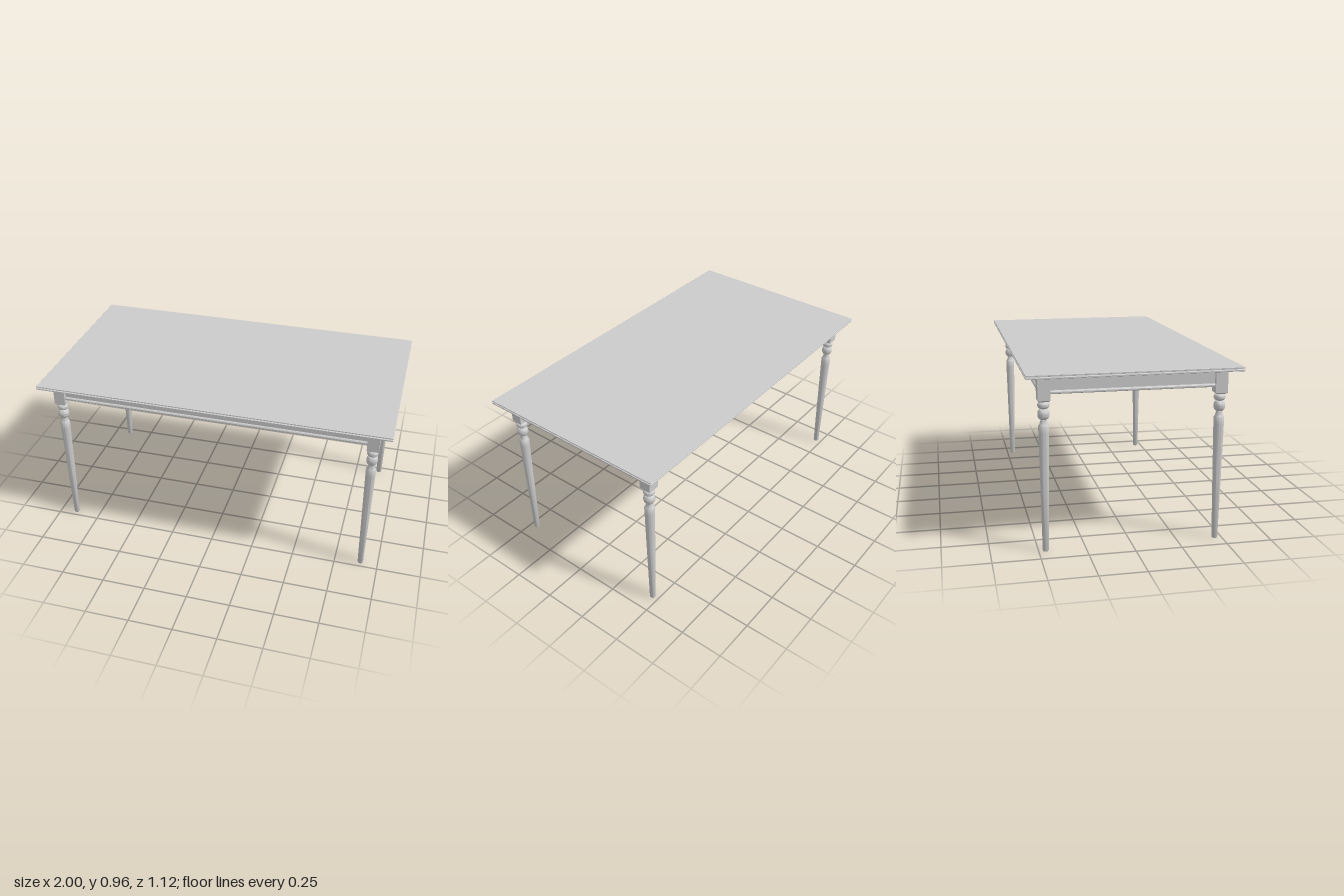
import * as THREE from 'three';
import { toCreasedNormals } from 'three/addons/utils/BufferGeometryUtils.js';

const material = new THREE.MeshStandardMaterial({ color: 0xcccccc });

// Stacks rectangles given as [y, halfWidth, halfDepth] (bottom to top) into a closed solid.
function rectLoft(rings) {
  const pos = [];
  const corners = rings.map(([y, w, d]) => [[-w, y, d], [w, y, d], [w, y, -d], [-w, y, -d]]);
  const quad = (a, b, c, d) => pos.push(...a, ...b, ...c, ...a, ...c, ...d);
  for (let i = 0; i < corners.length - 1; i++) {
    const lo = corners[i], hi = corners[i + 1];
    for (let k = 0; k < 4; k++) {
      const n = (k + 1) % 4;
      quad(lo[k], lo[n], hi[n], hi[k]);
    }
  }
  const bottom = corners[0], top = corners[corners.length - 1];
  quad(top[0], top[1], top[2], top[3]);
  quad(bottom[3], bottom[2], bottom[1], bottom[0]);
  const geo = new THREE.BufferGeometry();
  geo.setAttribute('position', new THREE.Float32BufferAttribute(pos, 3));
  geo.computeVertexNormals();
  return geo;
}

function addMesh(parent, name, geometry) {
  const mesh = new THREE.Mesh(geometry, material);
  mesh.name = name;
  parent.add(mesh);
  return mesh;
}

// Half-round bulge in a turned profile
function bead(y0, y1, inner, outer) {
  const points = [];
  for (let i = 0; i <= 12; i++) {
    const a = (i / 12) * Math.PI;
    points.push(new THREE.Vector2(
      inner + (outer - inner) * Math.sin(a),
      (y0 + y1) / 2 - Math.cos(a) * (y1 - y0) / 2));
  }
  return points;
}

// Turned leg: tapered shaft, flared neck, large and small beads
function legGeometry() {
  const v = (r, y) => new THREE.Vector2(r, y);
  const neck = new THREE.CubicBezierCurve(
    v(0.027, 0.678), v(0.019, 0.69), v(0.016, 0.702), v(0.016, 0.71)).getPoints(8);
  const profile = [
    v(0, 0), v(0.0145, 0), v(0.016, 0.004), v(0.0225, 0.36), v(0.0275, 0.64), v(0.028, 0.675),
    ...neck,
    ...bead(0.711, 0.766, 0.014, 0.031),
    ...bead(0.767, 0.803, 0.015, 0.031),
    v(0.02, 0.806), v(0, 0.806),
  ];
  return toCreasedNormals(new THREE.LatheGeometry(profile, 32), 0.6);
}

export function createModel() {
  const table = new THREE.Group();
  table.name = 'diningTable';
  const legX = 0.9, legZ = 0.4625, half = 0.0325;

  // Table top with a grooved edge
  const edge = [[0.935, 0.004], [0.937, 0], [0.943, 0], [0.946, 0.008],
    [0.949, 0.008], [0.951, 0], [0.956, 0], [0.957, 0.002]];
  addMesh(table, 'tableTop', rectLoft(edge.map(([y, inset]) => [y, 1 - inset, 0.56 - inset])));

  // Four legs with square corner blocks
  const turned = legGeometry();
  const block = rectLoft([[0.804, 0.022, 0.022], [0.812, half, half], [0.936, half, half]]);
  for (const sx of [-1, 1]) {
    for (const sz of [-1, 1]) {
      const leg = new THREE.Group();
      leg.name = `${sz > 0 ? 'front' : 'back'}${sx > 0 ? 'Left' : 'Right'}Leg`;
      leg.position.set(sx * legX, 0, sz * legZ);
      addMesh(leg, 'turnedShaft', turned);
      addMesh(leg, 'cornerBlock', block);
      table.add(leg);
    }
  }

  // Apron board cross-section (outward, y), with a moulding along the lower edge
  const section = new THREE.Shape([[-0.012, 0.843], [0.02, 0.843], [0.024, 0.847], [0.024, 0.854],
    [0.02, 0.859], [0.014, 0.861], [0.014, 0.936], [-0.012, 0.936]]
    .map(([x, y]) => new THREE.Vector2(x, y)));
  const apron = (name, length, offset, angle) => {
    const geo = new THREE.ExtrudeGeometry(section, { depth: length, bevelEnabled: false });
    geo.translate(offset, 0, -length / 2);
    addMesh(table, name, geo).rotation.y = angle;
  };
  const longSide = 2 * (legX - half) + 0.01, shortSide = 2 * (legZ - half) + 0.01;
  apron('leftApron', shortSide, legX, 0);
  apron('rightApron', shortSide, legX, Math.PI);
  apron('frontApron', longSide, legZ, -Math.PI / 2);
  apron('backApron', longSide, legZ, Math.PI / 2);

  return table;
}
